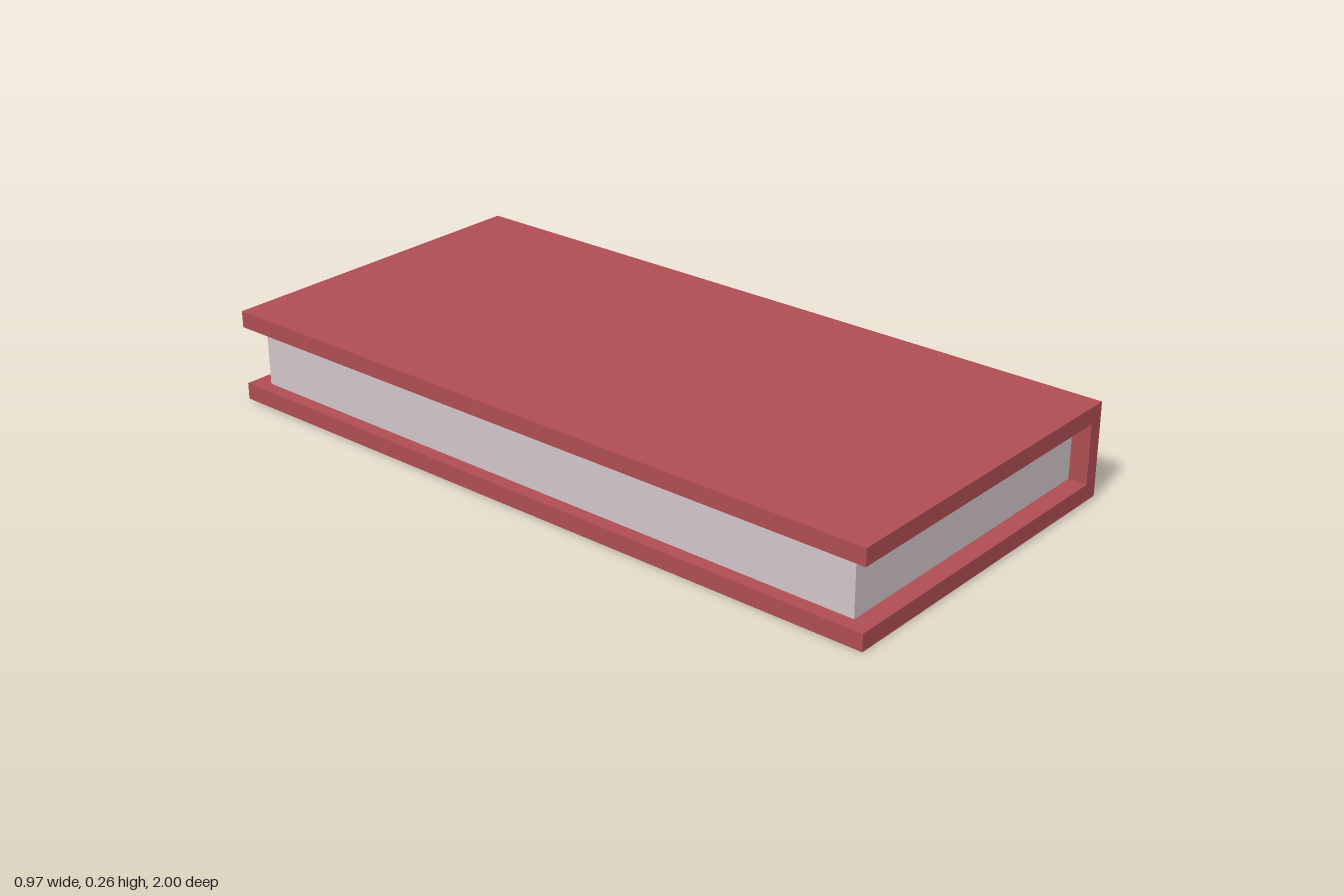
import * as THREE from 'three';

const WIDTH = 0.951, HEIGHT = 0.25, LENGTH = 1.992;
const BOARD = 0.045, SPINE = 0.04, INSET = 0.037, END_INSET = 0.05;

export function createModel() {
  const coverRed = new THREE.MeshStandardMaterial({ color: 0xb04e53 });
  coverRed.name = 'coverRed';
  const paper = new THREE.MeshStandardMaterial({ color: 0xd2c7ca });
  paper.name = 'paper';

  const book = new THREE.Group();
  book.name = 'book';

  // Cover: C-shaped section, spine on +x, open on -x, run along z
  const x = WIDTH / 2, y = HEIGHT / 2;
  const section = new THREE.Shape([
    [-x, -y], [x, -y], [x, y], [-x, y],
    [-x, y - BOARD], [x - SPINE, y - BOARD],
    [x - SPINE, -y + BOARD], [-x, -y + BOARD],
  ].map(([px, py]) => new THREE.Vector2(px, py)));
  const coverGeometry = new THREE.ExtrudeGeometry(section, { depth: LENGTH, bevelEnabled: false });
  coverGeometry.translate(0, 0, -LENGTH / 2);
  const cover = new THREE.Mesh(coverGeometry, coverRed);
  cover.name = 'cover';
  book.add(cover);

  // Page block: fills the cover, set back from its three open edges
  const pages = new THREE.Mesh(
    new THREE.BoxGeometry(WIDTH - SPINE - INSET, HEIGHT - 2 * BOARD, LENGTH - 2 * END_INSET),
    paper,
  );
  pages.name = 'pages';
  pages.position.x = (INSET - SPINE) / 2;
  book.add(pages);

  // The book lies very slightly askew
  book.rotation.set(0.0025, -0.0075, 0.008);
  book.position.y = 0.1315;

  const model = new THREE.Group();
  model.name = 'closedBook';
  model.add(book);
  return model;
}
